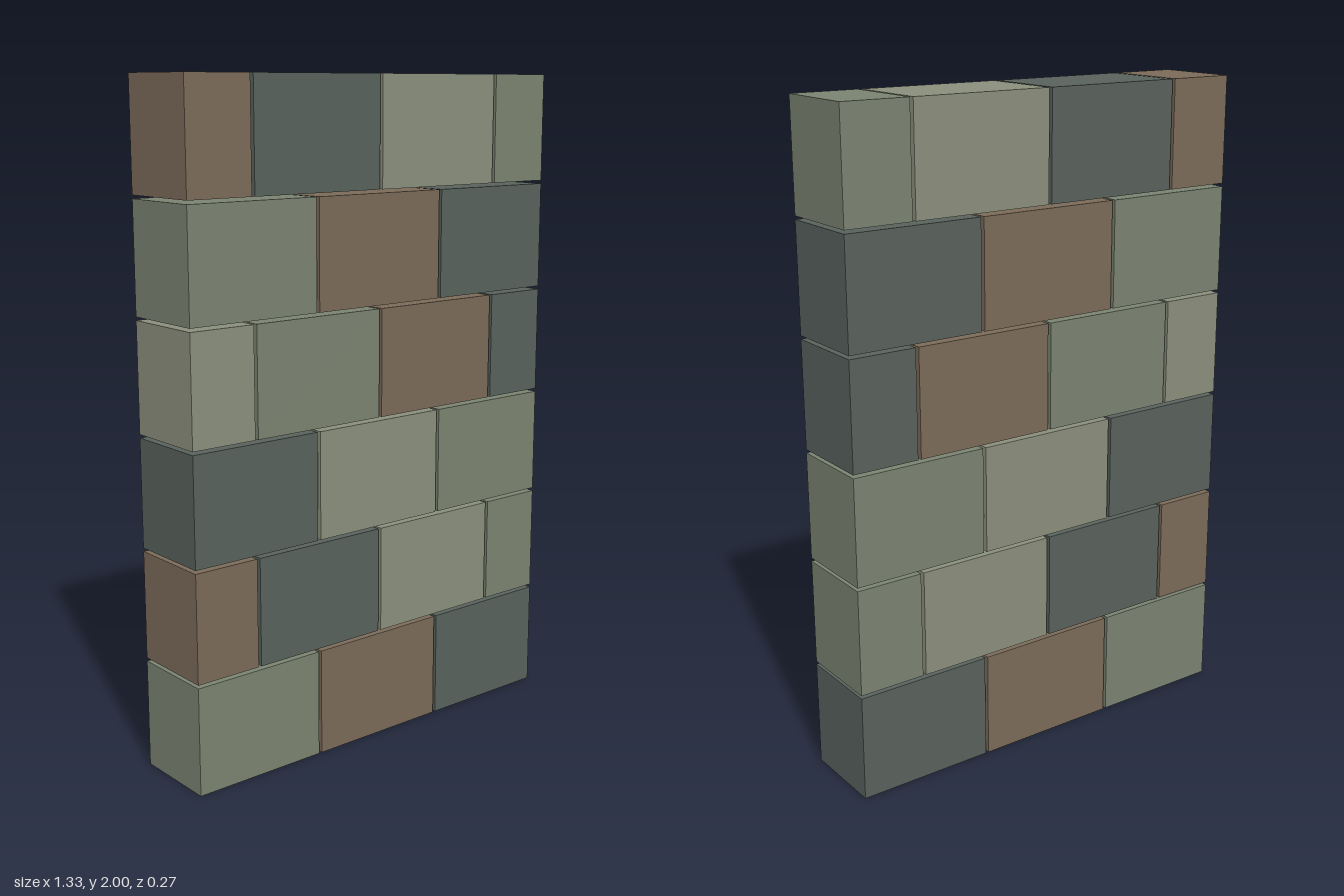
import * as THREE from 'three';

const WIDTH = 1.333, HEIGHT = 2, DEPTH = 0.267, GAP = 0.01;

const COLORS = { sage: 0x7a8270, brown: 0x7a6a58, slate: 0x58615c, pale: 0x8a8e7c };

// Centres of the vertical joints in the two alternating kinds of course
const THREE_BLOCK = [-0.233, 0.233];
const FOUR_BLOCK = [-0.453, 0, 0.453];

// Block colours from the bottom course up, left to right across the front
const COURSES = [
  ['sage', 'brown', 'slate'],
  ['brown', 'slate', 'pale', 'sage'],
  ['slate', 'pale', 'sage'],
  ['pale', 'sage', 'brown', 'slate'],
  ['sage', 'brown', 'slate'],
  ['brown', 'slate', 'pale', 'sage'],
];

export function createModel() {
  const wall = new THREE.Group();
  wall.name = 'blockWall';

  const materials = {};
  for (const [name, color] of Object.entries(COLORS)) {
    materials[name] = new THREE.MeshStandardMaterial({ color });
  }

  const blockHeight = (HEIGHT - GAP * (COURSES.length - 1)) / COURSES.length;

  COURSES.forEach((blocks, row) => {
    const course = new THREE.Group();
    course.name = `course${row + 1}`;
    course.position.y = row * (blockHeight + GAP) + blockHeight / 2;
    wall.add(course);

    // Blocks fill the space between joints; the outer ends stay flush
    const joints = blocks.length === 3 ? THREE_BLOCK : FOUR_BLOCK;
    blocks.forEach((color, i) => {
      const left = i === 0 ? -WIDTH / 2 : joints[i - 1] + GAP / 2;
      const right = i === joints.length ? WIDTH / 2 : joints[i] - GAP / 2;
      const block = new THREE.Mesh(
        new THREE.BoxGeometry(right - left, blockHeight, DEPTH),
        materials[color]
      );
      block.name = `${color}Block${i + 1}`;
      block.position.x = (left + right) / 2;
      course.add(block);
    });
  });

  return wall;
}
